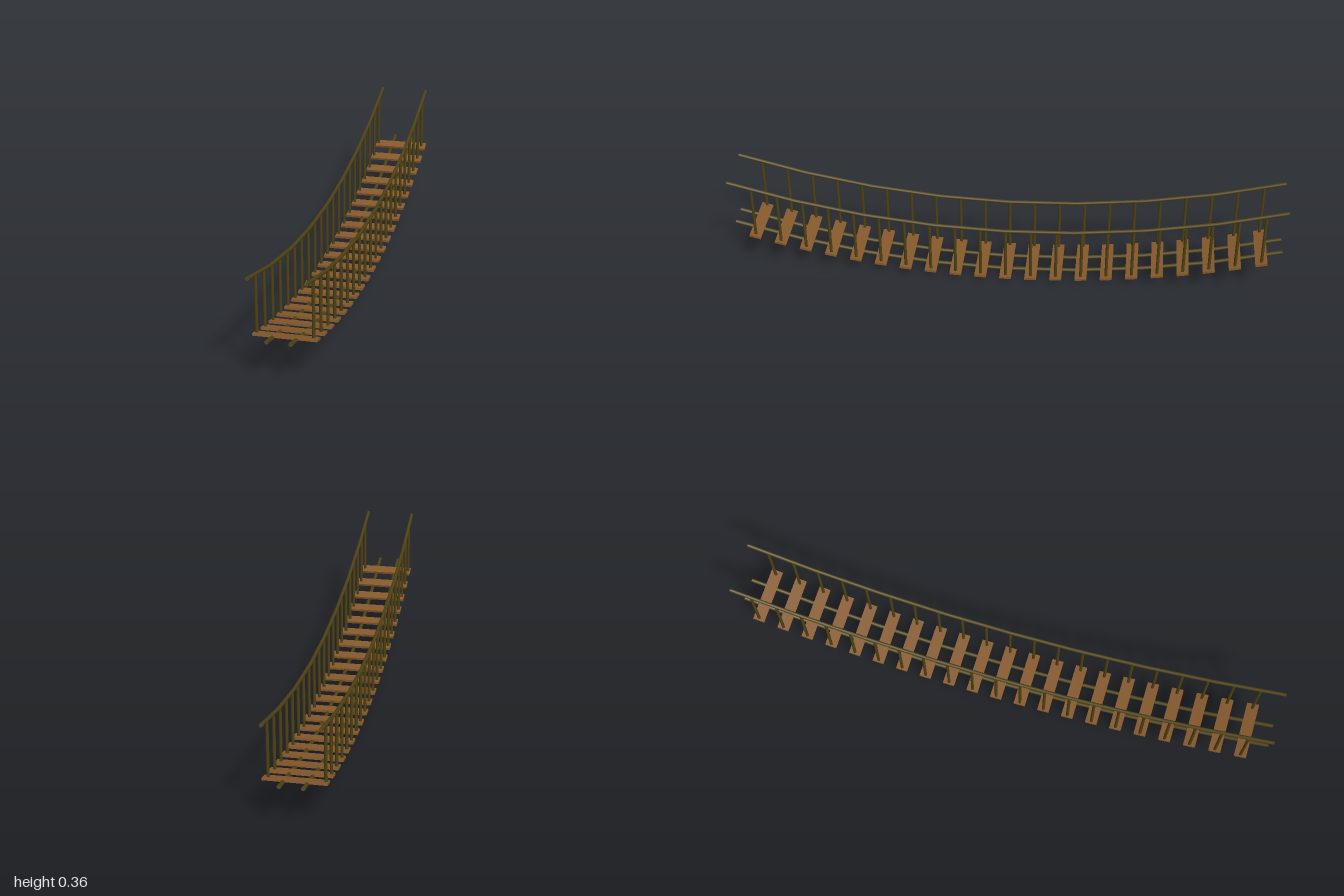
import * as THREE from 'three';

const RISE = 0.146, HALF = 0.998;
const sag = (z) => RISE * z * z;

export function createModel() {
  const bridge = new THREE.Group();
  bridge.name = 'ropeBridge';
  const rope = new THREE.MeshStandardMaterial({ name: 'dark rope', color: 0x4e4114 });
  const wood = new THREE.MeshStandardMaterial({ name: 'brown wood', color: 0x86592c });

  const add = (name, geometry, material, x = 0, y = 0, z = 0) => {
    const mesh = new THREE.Mesh(geometry, material);
    mesh.name = name;
    mesh.position.set(x, y, z);
    bridge.add(mesh);
    return mesh;
  };

  // A sagging rope along z with closed ends
  const addRope = (name, x, low, radius) => {
    const rise = sag(HALF);
    const curve = new THREE.QuadraticBezierCurve3(
      new THREE.Vector3(x, low + rise, -HALF),
      new THREE.Vector3(x, low - rise, 0),
      new THREE.Vector3(x, low + rise, HALF));
    add(name, new THREE.TubeGeometry(curve, 8, radius, 10), rope);
    for (const end of [-1, 1]) {
      const cap = add(name + 'End', new THREE.CircleGeometry(radius, 10), rope, x, low + rise, end * HALF);
      cap.lookAt(x, low + rise + 2 * RISE * HALF, end * (HALF + 1));
    }
  };

  const handX = { left: 0.087, right: -0.096 };
  const footX = { left: 0.036, right: -0.040 };
  for (const side of ['left', 'right']) {
    addRope(side + 'HandRope', handX[side], 0.213, 0.0065);
    addRope(side + 'FootRope', footX[side], 0.007, 0.007);
  }

  // Tilted planks, each with a post up to either hand rope
  const plankGeometry = new THREE.BoxGeometry(0.208, 0.0085, 0.043);
  const postGeometry = new THREE.CylinderGeometry(0.0055, 0.0055, 0.203, 8);
  for (let i = 0; i < 21; i++) {
    const z = -0.922 + i * 0.0917;
    const plank = add('plank', plankGeometry, wood, -0.001, 0.0135 + sag(z), z);
    plank.rotation.x = -Math.atan(2 * RISE * z);
    for (const side of ['left', 'right']) {
      add(side + 'Post', postGeometry, rope, handX[side], 0.1125 + sag(z), z);
    }
  }
  return bridge;
}
